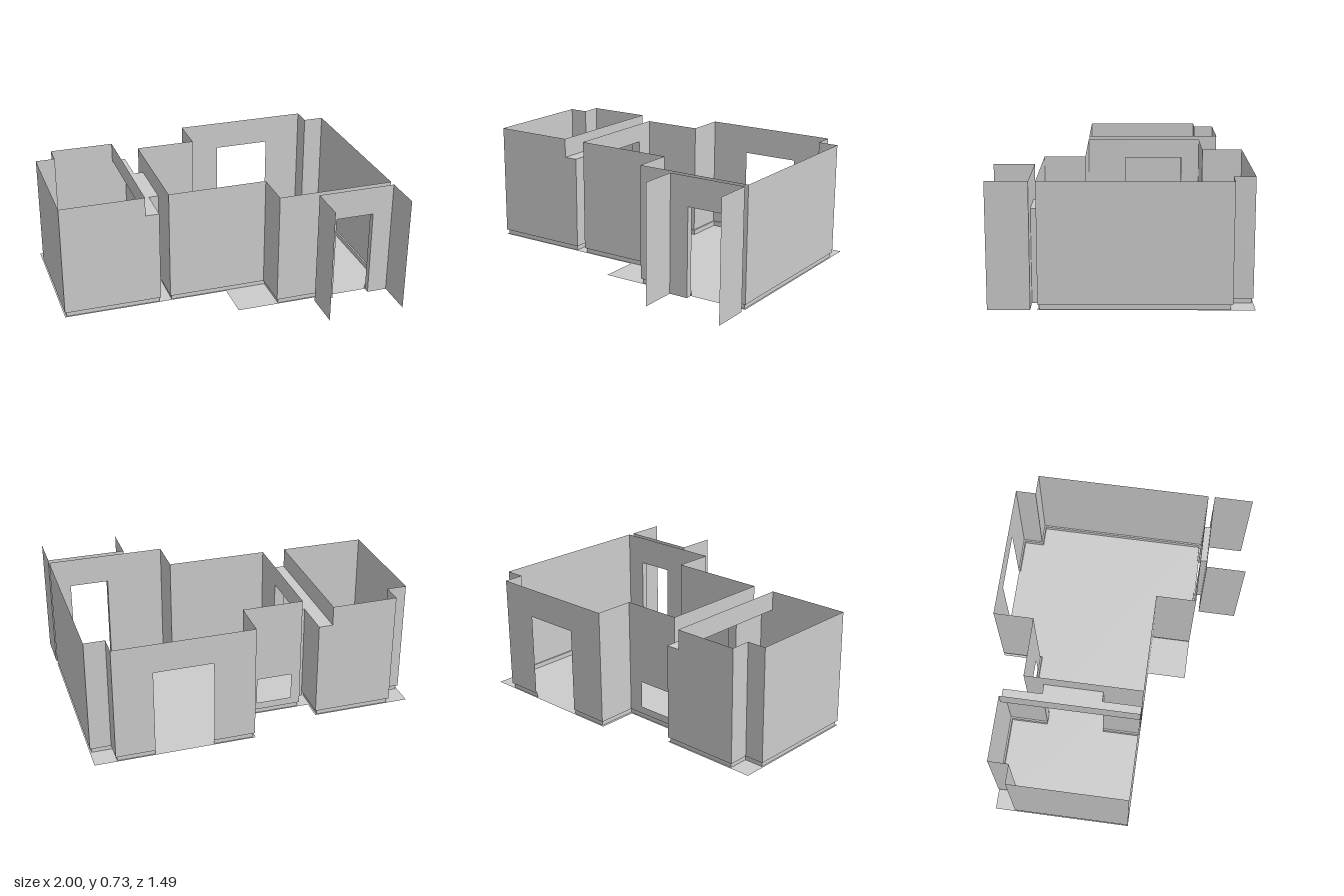
import * as THREE from 'three';
import { mergeGeometries } from 'three/addons/utils/BufferGeometryUtils.js';

const HIGH = 0.73, LOW = 0.61, DOOR = 0.55, SKIRT = 0.03, INSET = 0.01;
const material = new THREE.MeshStandardMaterial({ color: 0xcccccc, flatShading: true, side: THREE.DoubleSide });

// Flat four-cornered sheet
function quad(a, b, c, d) {
  const g = new THREE.BufferGeometry();
  g.setAttribute('position', new THREE.Float32BufferAttribute([...a, ...b, ...c, ...d], 3));
  g.setIndex([0, 1, 2, 0, 2, 3]);
  g.computeVertexNormals();
  return g;
}

// Upright sheet between two plan points [x, z]
const upright = (p, q, y0, y1) =>
  quad([p[0], y0, p[1]], [q[0], y0, q[1]], [q[0], y1, q[1]], [p[0], y1, p[1]]);

// Level sheet over a plan rectangle
const level = (x0, x1, z0, z1, y) => quad([x0, y, z0], [x0, y, z1], [x1, y, z1], [x1, y, z0]);

// Splits a run p-q around an opening given along its own axis
function split(p, q, hole) {
  const axis = Math.abs(q[0] - p[0]) > Math.abs(q[1] - p[1]) ? 0 : 1;
  const at = (v) => (axis === 0 ? [v, p[1]] : [p[0], v]);
  const forward = q[axis] > p[axis];
  return [at(forward ? hole.from : hole.to), at(forward ? hole.to : hole.from)];
}

// Wall sheet with an optional opening
function wall(p, q, y0, y1, hole) {
  if (!hole) return [upright(p, q, y0, y1)];
  const [a, b] = split(p, q, hole);
  const parts = [upright(p, a, y0, y1), upright(b, q, y0, y1)];
  if (hole.top < y1) parts.push(upright(a, b, hole.top, y1));
  if (hole.bottom > y0) parts.push(upright(a, b, y0, hole.bottom));
  return parts;
}

// Skirting: a face set inside the wall line and the ledge above it
function skirting(p, q, pi, qi, hole) {
  const strip = (a, b, ai, bi) => [
    upright(ai, bi, 0, SKIRT),
    quad([a[0], SKIRT, a[1]], [b[0], SKIRT, b[1]], [bi[0], SKIRT, bi[1]], [ai[0], SKIRT, ai[1]]),
  ];
  if (!hole || hole.bottom > 0) return strip(p, q, pi, qi);
  const [a, b] = split(p, q, hole), [ai, bi] = split(pi, qi, hole);
  return [...strip(p, a, pi, ai), ...strip(b, q, bi, qi)];
}

function add(group, name, geometries) {
  const mesh = new THREE.Mesh(mergeGeometries(geometries), material);
  mesh.name = name;
  group.add(mesh);
}

// Closed room; each run is { p, top, hole } and the order keeps the inside on one hand
function room(name, runs) {
  const group = new THREE.Group();
  group.name = name;
  const n = runs.length;
  const inward = runs.map(({ p }, i) => {
    const q = runs[(i + 1) % n].p;
    return [-Math.sign(q[1] - p[1]), Math.sign(q[0] - p[0])];
  });
  const inner = runs.map(({ p }, i) => {
    const a = inward[(i + n - 1) % n], b = inward[i];
    const same = a[0] === b[0] && a[1] === b[1];
    return [0, 1].map((k) => p[k] + INSET * (same ? a[k] : a[k] + b[k]));
  });
  const walls = [], skirts = [];
  runs.forEach(({ p, top = HIGH, hole }, i) => {
    const j = (i + 1) % n;
    walls.push(...wall(p, runs[j].p, SKIRT, top, hole));
    skirts.push(...skirting(p, runs[j].p, inner[i], inner[j], hole));
  });
  add(group, 'walls', walls);
  add(group, 'skirting', skirts);
  return group;
}

export function createModel() {
  const model = new THREE.Group();
  model.name = 'openRooms';

  const passage = { from: -0.385, to: -0.02, bottom: 0, top: LOW };
  const frontDoor = { from: 0.635, to: 0.875, bottom: 0, top: DOOR };
  const backOpening = { from: 0.285, to: 0.64, bottom: 0, top: DOOR };
  const hatch = { from: -0.277, to: -0.06, bottom: 0.075, top: 0.24 };

  // Floor
  const outline = [[-1, 0.22], [-1, -0.625], [-0.395, -0.625], [-0.395, -0.5], [0.03, -0.5],
    [0.03, -0.745], [1, -0.745], [1, 0.465], [0.03, 0.465], [0.03, 0.22]];
  const floor = new THREE.ShapeGeometry(new THREE.Shape(outline.map(([x, z]) => new THREE.Vector2(x, -z))));
  floor.rotateX(-Math.PI / 2);
  add(model, 'floor', [floor]);

  // Small room, lower beside the partition
  model.add(room('smallRoom', [
    { p: [-1, 0.22] }, { p: [-1, -0.5] }, { p: [-0.88, -0.5] }, { p: [-0.88, -0.625] },
    { p: [-0.48, -0.625], top: LOW },
    { p: [-0.395, -0.625], top: LOW, hole: passage },
    { p: [-0.395, 0.22], top: LOW },
    { p: [-0.48, 0.22] },
  ]));

  // Main room
  model.add(room('mainRoom', [
    { p: [0.28, 0.22] },
    { p: [-0.335, 0.22], hole: passage },
    { p: [-0.335, -0.5], hole: hatch },
    { p: [0.035, -0.5] },
    { p: [0.035, -0.745], hole: backOpening },
    { p: [0.875, -0.745] }, { p: [0.875, -0.62] }, { p: [1, -0.62] },
    { p: [1, 0.465], hole: frontDoor },
    { p: [0.28, 0.465] },
  ]));

  // Dropped beam along the partition
  add(model, 'ceilingBeam', [
    upright([-0.48, -0.625], [-0.48, 0.22], LOW, HIGH),
    level(-0.48, -0.395, -0.625, 0.22, LOW),
  ]);

  // Passage lining between the rooms
  add(model, 'passageLining', [
    ...[passage.from, passage.to].map((z) => upright([-0.395, z], [-0.335, z], 0, LOW)),
    level(-0.395, -0.335, passage.from, passage.to, LOW),
  ]);

  // Front door lining
  add(model, 'doorLining', [
    ...[frontDoor.from, frontDoor.to].map((x) => upright([x, 0.465], [x, 0.505], 0, DOOR)),
    level(frontDoor.from, frontDoor.to, 0.465, 0.505, DOOR),
  ]);

  // Porch wall around the door and its two side walls
  add(model, 'porch', [
    ...wall([0.515, 0.505], [1, 0.505], 0, HIGH, frontDoor),
    ...[0.515, 1].map((x) => upright([x, 0.505], [x, 0.745], 0, HIGH)),
  ]);

  return model;
}
